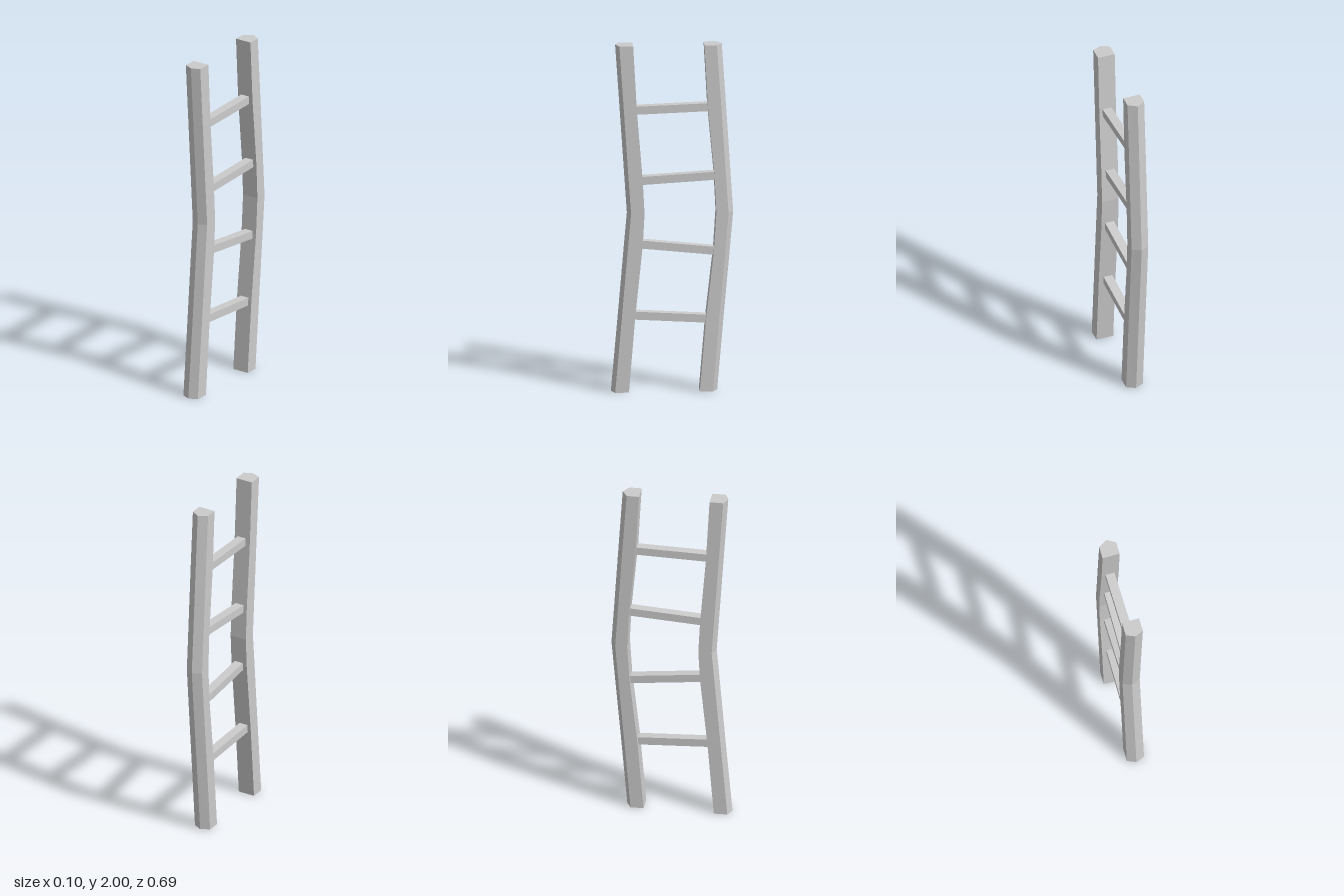
import * as THREE from 'three';

const material = new THREE.MeshStandardMaterial({ color: 0xcccccc, flatShading: true });
const HALF_WIDTH = 0.05;

// Rail: pentagonal sections [y, ridge z, shoulder z, inner z] joined in a loop, capped at both ends
function makeRail(name, sections) {
  const rings = sections.map(([y, ridge, shoulder, inner]) => [
    [0, y, ridge],
    [HALF_WIDTH, y, shoulder],
    [HALF_WIDTH, y, inner],
    [-HALF_WIDTH, y, inner],
    [-HALF_WIDTH, y, shoulder],
  ]);
  const flip = sections[0][1] < sections[0][3]; // ridge facing -z reverses the winding
  const positions = [];
  const tri = (a, b, c) => positions.push(...a, ...(flip ? c : b), ...(flip ? b : c));
  for (let i = 0; i < rings.length - 1; i++) {
    for (let j = 0; j < 5; j++) {
      const k = (j + 1) % 5;
      const lower = rings[i], upper = rings[i + 1];
      tri(lower[j], lower[k], upper[k]);
      tri(lower[j], upper[k], upper[j]);
    }
  }
  const bottom = rings[0], top = rings[rings.length - 1];
  for (let j = 1; j < 4; j++) {
    tri(top[0], top[j], top[j + 1]);
    tri(bottom[0], bottom[j + 1], bottom[j]);
  }
  const geometry = new THREE.BufferGeometry();
  geometry.setAttribute('position', new THREE.Float32BufferAttribute(positions, 3));
  geometry.computeVertexNormals();
  const mesh = new THREE.Mesh(geometry, material);
  mesh.name = name;
  return mesh;
}

// Rung: a thin square bar between two points, its ends seated in the rails
function makeRung(name, front, back) {
  const a = new THREE.Vector3(...front), b = new THREE.Vector3(...back);
  const mesh = new THREE.Mesh(new THREE.BoxGeometry(0.052, 0.046, a.distanceTo(b)), material);
  mesh.position.copy(a).add(b).multiplyScalar(0.5);
  mesh.lookAt(a);
  mesh.name = name;
  return mesh;
}

export function createModel() {
  const ladder = new THREE.Group();
  ladder.name = 'ladder';

  // Bent side rails
  ladder.add(makeRail('frontRail', [
    [0, 0.344, 0.322, 0.245],
    [0.44, 0.305, 0.284, 0.209],
    [0.85, 0.27, 0.249, 0.167],
    [1.03, 0.254, 0.233, 0.157],
    [1.22, 0.267, 0.246, 0.167],
    [1.62, 0.294, 0.273, 0.2],
    [2, 0.32, 0.299, 0.221],
  ]));
  ladder.add(makeRail('backRail', [
    [0, -0.254, -0.228, -0.154],
    [0.42, -0.29, -0.263, -0.189],
    [0.81, -0.325, -0.297, -0.233],
    [1.03, -0.344, -0.315, -0.247],
    [1.24, -0.33, -0.301, -0.237],
    [1.64, -0.304, -0.275, -0.2],
    [2, -0.28, -0.25, -0.18],
  ]));

  // Slightly crooked rungs
  const rungs = [
    [[-0.004, 0.438, 0.216], [0.002, 0.416, -0.194]],
    [[0.002, 0.849, 0.173], [0, 0.807, -0.238]],
    [[-0.002, 1.215, 0.174], [0.002, 1.241, -0.242]],
    [[0.004, 1.623, 0.205], [-0.001, 1.637, -0.204]],
  ];
  rungs.forEach(([front, back], i) => ladder.add(makeRung(`rung${i + 1}`, front, back)));

  return ladder;
}
